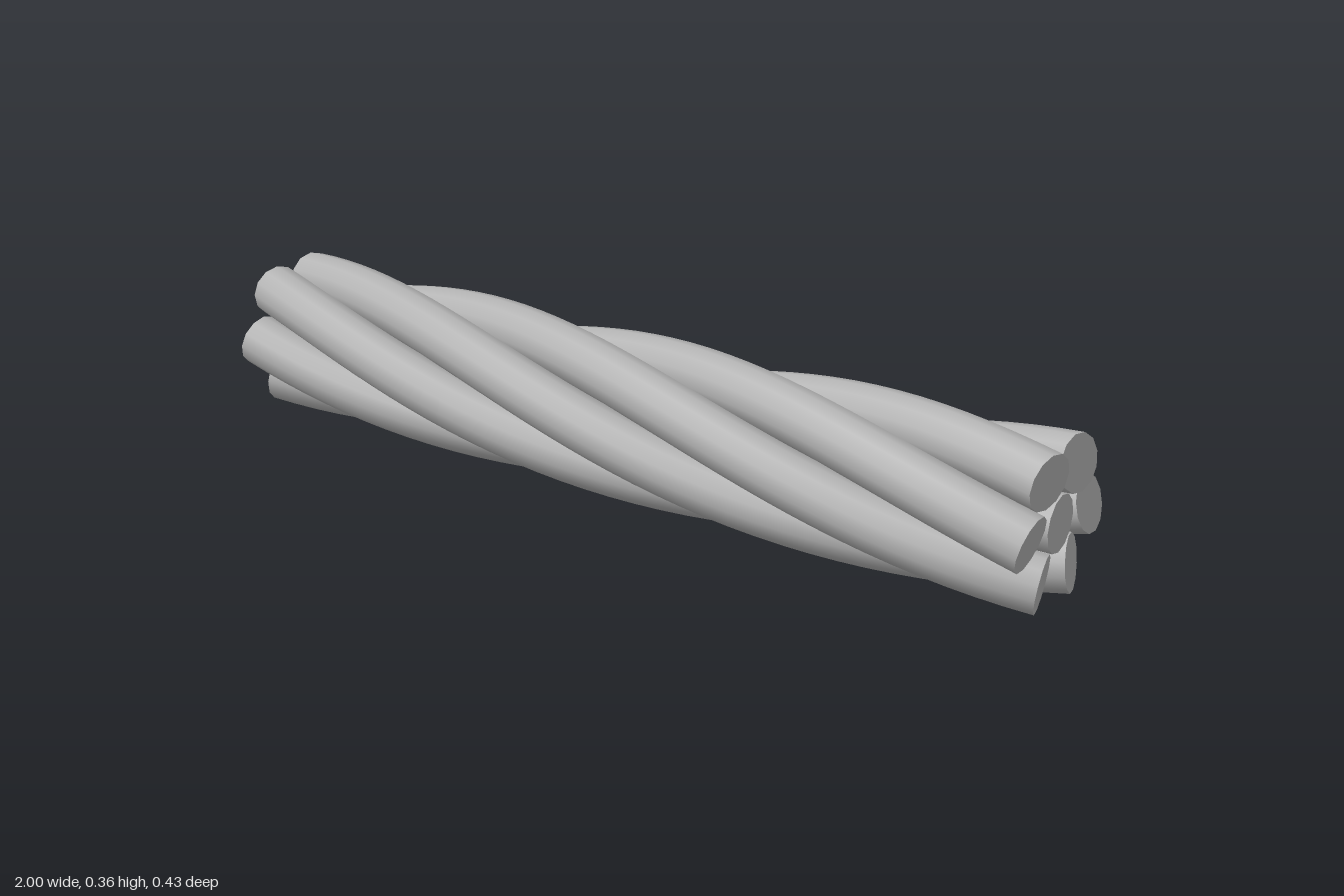
import * as THREE from 'three';

const HALF = 0.985, AXIS_Y = 0.181, RING = 0.121, RADIUS = 0.06;
const SIDES = 12, STEPS = 36;

// Path of one strand: a helix around a gently bowed, slanted axis
class StrandCurve extends THREE.Curve {
  constructor(ring, phase) {
    super();
    this.ring = ring;
    this.phase = phase;
  }
  getPoint(t, target = new THREE.Vector3()) {
    const s = 2 * t - 1;
    const angle = this.phase - s * Math.PI * 2 / 3;
    const axisZ = 0.014 - 0.034 * s - 0.014 * s * s;
    return target.set(
      s * HALF,
      AXIS_Y + this.ring * Math.sin(angle),
      axisZ + this.ring * Math.cos(angle)
    );
  }
}

// Flat disc closing one end of a tube, fanned from its end ring
function capGeometry(tube, curve, atEnd) {
  const pos = tube.attributes.position;
  const start = atEnd ? STEPS * (SIDES + 1) : 0;
  const points = [];
  const rim = j => new THREE.Vector3().fromBufferAttribute(pos, start + j);
  for (let j = 0; j < SIDES; j++) {
    const a = rim(j), b = rim(j + 1);
    points.push(curve.getPointAt(atEnd ? 1 : 0), ...(atEnd ? [b, a] : [a, b]));
  }
  const geometry = new THREE.BufferGeometry().setFromPoints(points);
  geometry.computeVertexNormals();
  return geometry;
}

function createStrand(name, ring, phase, material) {
  const strand = new THREE.Group();
  strand.name = name;
  const curve = new StrandCurve(ring, phase);
  const tube = new THREE.TubeGeometry(curve, STEPS, RADIUS, SIDES, false);
  const add = (geometry, part) => {
    const mesh = new THREE.Mesh(geometry, material);
    mesh.name = part;
    strand.add(mesh);
  };
  add(tube, 'wire');
  add(capGeometry(tube, curve, false), 'rightEndCap');
  add(capGeometry(tube, curve, true), 'leftEndCap');
  return strand;
}

export function createModel() {
  const model = new THREE.Group();
  model.name = 'twistedCable';
  const steel = new THREE.MeshStandardMaterial({ color: 0xb4b4b4 });
  steel.name = 'steel grey';

  // Core wire with six wires wound around it
  model.add(createStrand('coreStrand', 0, 0, steel));
  for (let k = 0; k < 6; k++) {
    model.add(createStrand(`outerStrand${k + 1}`, RING, k * Math.PI / 3, steel));
  }
  return model;
}
